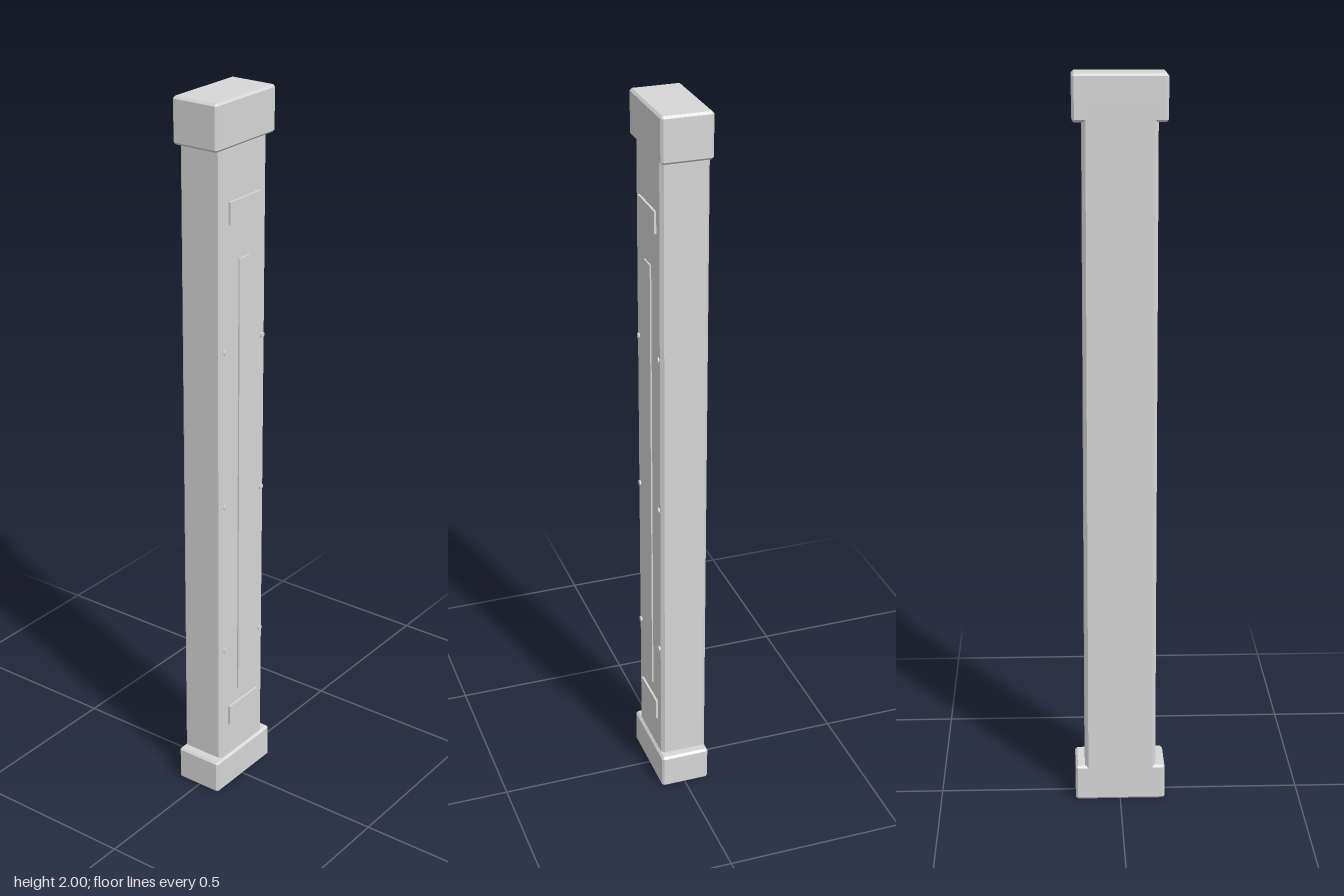
import * as THREE from 'three';
import { ConvexGeometry } from 'three/addons/geometries/ConvexGeometry.js';

const stone = new THREE.MeshStandardMaterial({ color: 0xd7d7d7 });
stone.name = 'light grey';

// Box between two corners with every edge cut by a flat chamfer c
function chamferBox([x0, y0, z0], [x1, y1, z1], c) {
  const half = [(x1 - x0) / 2, (y1 - y0) / 2, (z1 - z0) / 2];
  const points = [];
  for (const sx of [-1, 1]) for (const sy of [-1, 1]) for (const sz of [-1, 1]) {
    for (let axis = 0; axis < 3; axis++) {
      const [hx, hy, hz] = half.map((h, i) => (i === axis ? h : h - c));
      points.push(new THREE.Vector3(sx * hx, sy * hy, sz * hz));
    }
  }
  return new ConvexGeometry(points).translate((x0 + x1) / 2, (y0 + y1) / 2, (z0 + z1) / 2);
}

export function createModel() {
  const model = new THREE.Group();
  model.name = 'column';

  const add = (name, geometry, x = 0, y = 0, z = 0) => {
    const mesh = new THREE.Mesh(geometry, stone);
    mesh.name = name;
    mesh.position.set(x, y, z);
    model.add(mesh);
  };

  // Shaft, its back flush with the base and the cap
  const front = 0.062;
  add('shaft', chamferBox([-0.098, 0.05, -0.069], [0.098, 1.94, front], 0.009));
  add('base', chamferBox([-0.124, 0, -0.069], [0.124, 0.1, 0.069], 0.006));
  add('cap', chamferBox([-0.124, 1.878, -0.069], [0.124, 2, 0.069], 0.006));

  // Raised plates near both ends of the front
  for (const [name, y] of [['lowerPlate', 0.23], ['upperPlate', 1.71]]) {
    add(name, new THREE.BoxGeometry(0.13, 0.06, 0.012), 0, y, front);
  }

  // Long thin strip up the middle
  add('centreStrip', new THREE.BoxGeometry(0.047, 1.28, 0.008), 0, 0.94, front);

  // Small studs along both edges of the front
  const stud = new THREE.CylinderGeometry(0.008, 0.008, 0.008, 8).rotateX(Math.PI / 2);
  for (const y of [0.45, 0.895, 1.34]) {
    for (const side of [-1, 1]) add('stud', stud, side * 0.08, y, front);
  }

  return model;
}
